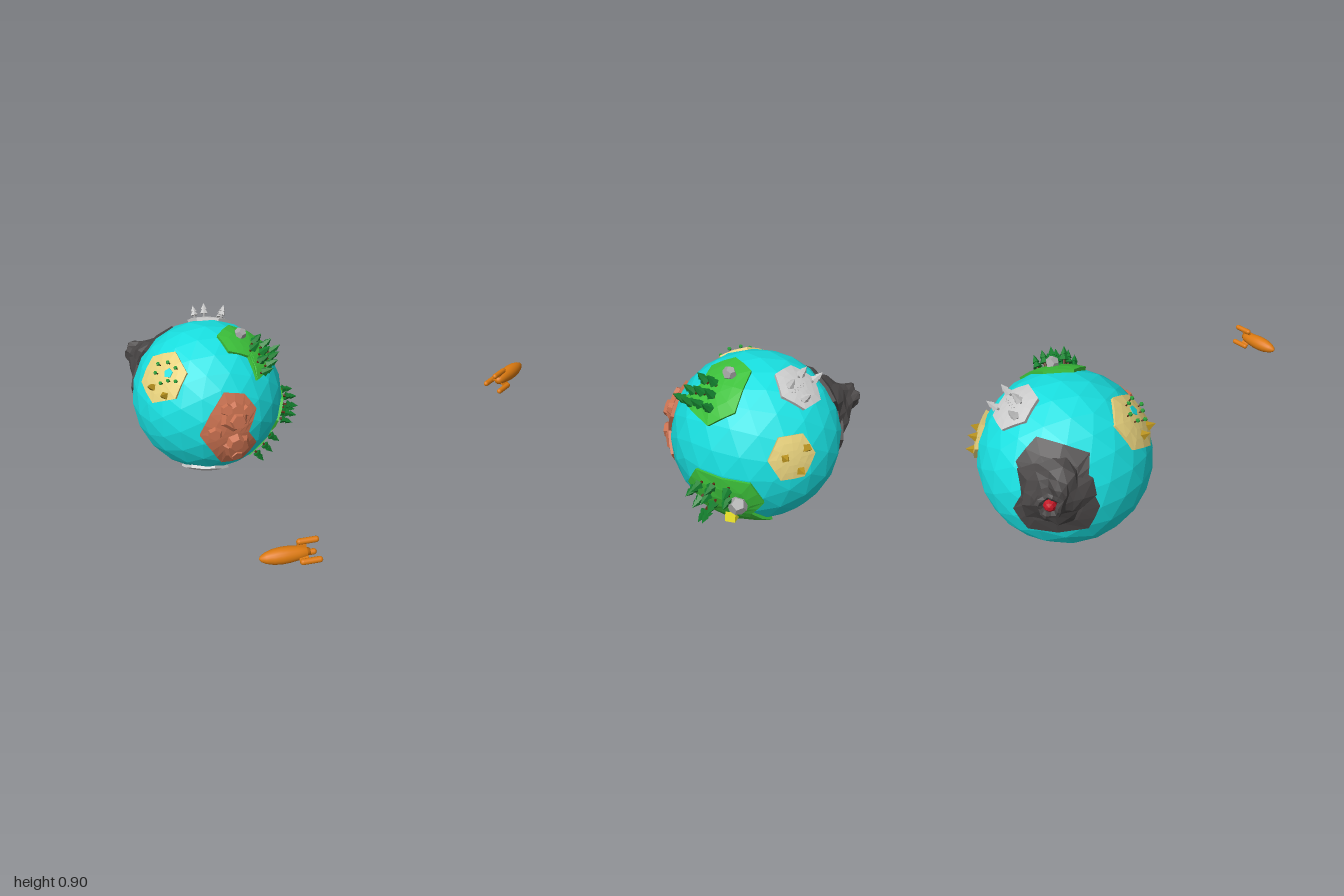
import * as THREE from 'three';

const R = 0.437;
const V = (x, y, z) => new THREE.Vector3(x, y, z);
const X = V(1, 0, 0), Y = V(0, 1, 0), Z = V(0, 0, 1);

const mat = (color, extra = {}) => new THREE.MeshStandardMaterial({ color, flatShading: true, ...extra });
const M = {
  ocean: mat(0x18dfe0), grass: mat(0x3cc03a), sand: mat(0xe6d07c), snow: mat(0xd6dada),
  canyon: mat(0xc97150), ash: mat(0x484545), leaf: mat(0x14802e), trunk: mat(0x5a2d14),
  rock: mat(0xa6a6a6), gold: mat(0xb8921f), frost: mat(0xeeeeee), lava: mat(0xc01424),
  tent: mat(0xe0d820), dark: mat(0x1c1c1c), palm: mat(0x2aa03a),
  hull: mat(0xdc7a10, { flatShading: false }),
};

function mesh(name, geo, material, y = 0) {
  const m = new THREE.Mesh(geo, material);
  m.name = name;
  m.position.y = y;
  return m;
}

function group(name, ...children) {
  const g = new THREE.Group();
  g.name = name;
  if (children.length) g.add(...children);
  return g;
}

// Unit direction of the surface point seen at (a, b) when looking at the globe along -d
function on(d, a, b) {
  const n = d.clone().normalize();
  const e1 = Math.abs(n.y) > 0.99 ? X.clone() : new THREE.Vector3().crossVectors(Y, n).normalize();
  const e2 = new THREE.Vector3().crossVectors(n, e1);
  const w = Math.sqrt(Math.max(0, R * R - a * a - b * b));
  return n.multiplyScalar(w).addScaledVector(e1, a).addScaledVector(e2, b).normalize();
}

// Stand an object upright on the globe
function place(obj, dir, h = 0.012, spin = 0) {
  obj.quaternion.setFromUnitVectors(Y, dir).multiply(new THREE.Quaternion().setFromAxisAngle(Y, spin));
  obj.position.copy(dir).multiplyScalar(R + h);
  return obj;
}

// Raised land plate: counter-clockwise outline, filled with rings that follow the globe
function plate(name, d, outline, material, h = 0.013) {
  const rim = [];
  const corners = outline.map(([a, b]) => on(d, a, b));
  corners.forEach((p, i) => {
    const q = corners[(i + 1) % corners.length];
    for (let k = 0; k < 2; k++) rim.push(p.clone().lerp(q, k / 2).normalize());
  });
  const mid = rim.reduce((s, p) => s.add(p), V(0, 0, 0)).normalize();
  const rings = 3, n = rim.length, pos = [], idx = [];
  for (let r = 0; r <= rings + 1; r++) {
    for (const p of rim) {
      const q = mid.clone().lerp(p, Math.min(1, r / rings)).normalize();
      pos.push(...q.multiplyScalar(r > rings ? R - 0.025 : R + h).toArray());
    }
  }
  for (let r = 0; r <= rings; r++) {
    for (let i = 0; i < n; i++) {
      const j = (i + 1) % n, a = r * n + i, b = r * n + j;
      idx.push(a, a + n, b + n);
      if (r > 0) idx.push(a, b + n, b);
    }
  }
  const geo = new THREE.BufferGeometry();
  geo.setAttribute('position', new THREE.Float32BufferAttribute(pos, 3));
  geo.setIndex(idx);
  geo.computeVertexNormals();
  return mesh(name, geo, material);
}

const hex = (r, turn = 0) => [0, 1, 2, 3, 4, 5].map(i => {
  const t = turn + i * Math.PI / 3;
  return [r * Math.cos(t), r * Math.sin(t)];
});

const cone = (r, h, sides) => new THREE.ConeGeometry(r, h, sides);
const post = (r, h, sides = 5) => new THREE.CylinderGeometry(r, r, h, sides);

const pine = (leaf, trunk, s = 1) => {
  const g = group('pineTree',
    mesh('trunk', post(0.007, 0.04), trunk, 0.015),
    mesh('lowerBranches', cone(0.027, 0.05, 5), leaf, 0.05),
    mesh('upperBranches', cone(0.02, 0.042, 5), leaf, 0.074));
  g.scale.setScalar(s);
  return g;
};

function volcano() {
  const profile = [[0.175, -0.04], [0.135, 0.015], [0.095, 0.05], [0.07, 0.085], [0.06, 0.125], [0.045, 0.135], [0.03, 0.118]];
  const geo = new THREE.LatheGeometry(profile.map(p => new THREE.Vector2(...p)), 14);
  const p = geo.attributes.position;
  // Gullies and ridges down the slope
  for (let i = 0; i < p.count; i++) {
    const x = p.getX(i), y = p.getY(i), z = p.getZ(i), t = Math.atan2(x, z);
    const k = 1 + 0.1 * Math.sin(5 * t + y * 30) + 0.06 * Math.cos(3 * t - y * 50);
    p.setXYZ(i, x * k, y + 0.008 * Math.sin(4 * t) * (y > 0.1 ? 1 : 0), z * k);
  }
  return group('volcano', mesh('slope', geo, M.ash), mesh('lava', new THREE.SphereGeometry(0.032, 8, 5), M.lava, 0.108));
}

function tent() {
  const s = new THREE.Shape([[-0.027, 0], [0.027, 0], [0, 0.042]].map(p => new THREE.Vector2(...p)));
  const door = new THREE.Shape([[-0.02, 0], [0.02, 0], [0, 0.033]].map(p => new THREE.Vector2(...p)));
  const canvas = new THREE.ExtrudeGeometry(s, { depth: 0.055, bevelEnabled: false }).translate(0, 0, -0.0275);
  const opening = new THREE.ShapeGeometry(door).translate(0, 0, 0.0285);
  return group('tent', mesh('canvas', canvas, M.tent), mesh('opening', opening, M.dark));
}

function rocket() {
  const g = group('rocket');
  const hull = [[0, -0.092], [0.016, -0.092], [0.02, -0.075], [0.027, -0.075], [0.034, -0.035], [0.039, 0.005],
    [0.04, 0.04], [0.036, 0.08], [0.026, 0.115], [0.014, 0.137], [0, 0.146]];
  g.add(mesh('hull', new THREE.LatheGeometry(hull.map(p => new THREE.Vector2(...p)), 20), M.hull));
  for (let i = 0; i < 3; i++) {
    const arm = group('boosterArm');
    const booster = mesh('booster', new THREE.CapsuleGeometry(0.0145, 0.078, 5, 12), M.hull, -0.085);
    booster.position.x = 0.053;
    const fin = mesh('fin', new THREE.BoxGeometry(0.04, 0.045, 0.007), M.hull, -0.055);
    fin.position.x = 0.035;
    arm.add(booster, fin);
    arm.rotation.y = 0.3 + i * Math.PI * 2 / 3;
    g.add(arm);
  }
  g.rotation.z = Math.PI / 2;
  g.position.set(0, 0.455, 0.945);
  return g;
}

export function createModel() {
  const planet = group('planet', mesh('ocean', new THREE.IcosahedronGeometry(R, 3), M.ocean));
  planet.position.set(-0.055, 0.44, -0.56);
  const put = (obj, d, a, b, h, spin) => planet.add(place(obj, on(d, a, b), h, spin));
  const oasis = V(-0.275, 0.25, 0.19), polar = V(0.07, 0.366, -0.225), desert = V(0.3, 0.115, -0.29);
  const south = V(-0.065, -0.375, 0.21), crater = V(-0.29, 0.12, -0.3);

  // Land plates
  planet.add(
    plate('northForest', Y, [[0.04, -0.11], [0.08, -0.215], [0.19, -0.215], [0.215, -0.305], [0.365, -0.11], [0.325, 0.005], [0.13, 0.005]], M.grass),
    plate('eastForest', X, [[-0.143, -0.007], [-0.196, -0.12], [-0.13, -0.22], [-0.18, -0.34], [0.194, -0.328], [0.13, -0.22], [0.194, -0.12], [0.135, -0.007]], M.grass),
    plate('canyonLand', Z, [[-0.07, 0.115], [-0.13, 0], [-0.065, -0.11], [-0.005, -0.22], [0.115, -0.23], [0.195, -0.12], [0.14, -0.02], [0.19, 0.1], [0.125, 0.195], [0.015, 0.22]], M.canyon),
    plate('volcanoLand', crater, [[-0.17, 0.12], [-0.12, 0.015], [-0.19, -0.11], [-0.13, -0.22], [0.145, -0.21], [0.2, -0.085], [0.15, 0.04], [0.155, 0.165], [-0.08, 0.23]], M.ash),
    plate('oasisLand', oasis, hex(0.15, 0.5), M.sand),
    plate('desertLand', desert, hex(0.12), M.sand),
    plate('northSnow', polar, hex(0.125), M.snow),
    plate('southSnow', south, hex(0.135), M.snow));

  // Forest trees and boulders
  [[0.225, -0.13], [0.275, -0.12], [0.32, -0.11], [0.205, -0.18], [0.255, -0.175], [0.3, -0.165], [0.235, -0.225], [0.28, -0.215], [0.245, -0.265]]
    .forEach(([a, b], i) => put(pine(M.leaf, M.trunk), Y, a, b, 0.012, i));
  [[-0.105, -0.065], [-0.04, -0.05], [0.035, -0.05], [-0.13, -0.1], [-0.06, -0.11], [0.035, -0.1], [-0.105, -0.155], [-0.035, -0.155], [-0.085, -0.265], [-0.12, -0.3], [-0.135, -0.335]]
    .forEach(([a, b], i) => put(pine(M.leaf, M.trunk), X, a, b, 0.012, i));
  put(mesh('boulder', new THREE.DodecahedronGeometry(0.036), M.rock), Y, 0.17, -0.085, 0.025);
  put(mesh('boulder', new THREE.DodecahedronGeometry(0.052), M.rock), X, 0.077, -0.14, 0.02);
  put(tent(), X, 0.03, -0.26, 0.01, 0.3);

  // Canyon terraces: position, radius, height
  [[0.06, 0.09, 0.1, 0.022], [0.07, 0.07, 0.062, 0.042], [0.02, 0.135, 0.045, 0.028], [0.075, -0.1, 0.1, 0.022],
    [0.06, -0.06, 0.062, 0.042], [0.07, -0.155, 0.05, 0.03], [-0.05, 0.01, 0.05, 0.026], [0.13, 0.11, 0.04, 0.026]]
    .forEach(([a, b, r, h], i) => put(mesh('terrace', new THREE.CylinderGeometry(r * 0.65, r, h + 0.02, 6), M.canyon), Z, a, b, h / 2 - 0.002, i * 0.5));

  put(volcano(), crater, 0, -0.01, 0.006);

  // Oasis: palms, pool and pyramids
  [[-0.28, 0.3], [-0.235, 0.32], [-0.205, 0.31], [-0.3, 0.265], [-0.285, 0.235], [-0.25, 0.255], [-0.215, 0.26]].forEach(([a, b]) =>
    put(group('palm', mesh('stem', post(0.004, 0.02), M.trunk, 0.01), mesh('crown', new THREE.DodecahedronGeometry(0.011), M.palm, 0.022)), Z, a, b));
  put(mesh('pool', new THREE.CylinderGeometry(0.028, 0.028, 0.006, 5), M.ocean), Z, -0.25, 0.285, 0.012);
  const pyramid = () => mesh('pyramid', cone(0.028, 0.05, 4), M.gold);
  [[-0.335, 0.2], [-0.285, 0.185]].forEach(([a, b]) => put(pyramid(), Z, a, b, 0.03));
  // Desert pyramids
  [[0.263, 0.12], [0.333, 0.148], [0.328, 0.047]].forEach(([a, b]) => put(pyramid(), X, a, b, 0.03));

  // Snowy trees and a trail of footprints
  [[-0.008, 0.26], [0.035, 0.205], [0.135, 0.26], [0.13, 0.19]].forEach(([a, b], i) => put(pine(M.frost, M.rock, 0.85), Y, a, b, 0.012, i));
  for (let i = 0; i < 9; i++) {
    put(mesh('footprint', post(0.003, 0.003), M.rock), Y, 0.05 + i * 0.011, 0.235 - 0.003 * i + (i % 2) * 0.008, 0.0125);
  }

  return group('planetAndRocket', planet, rocket());
}
